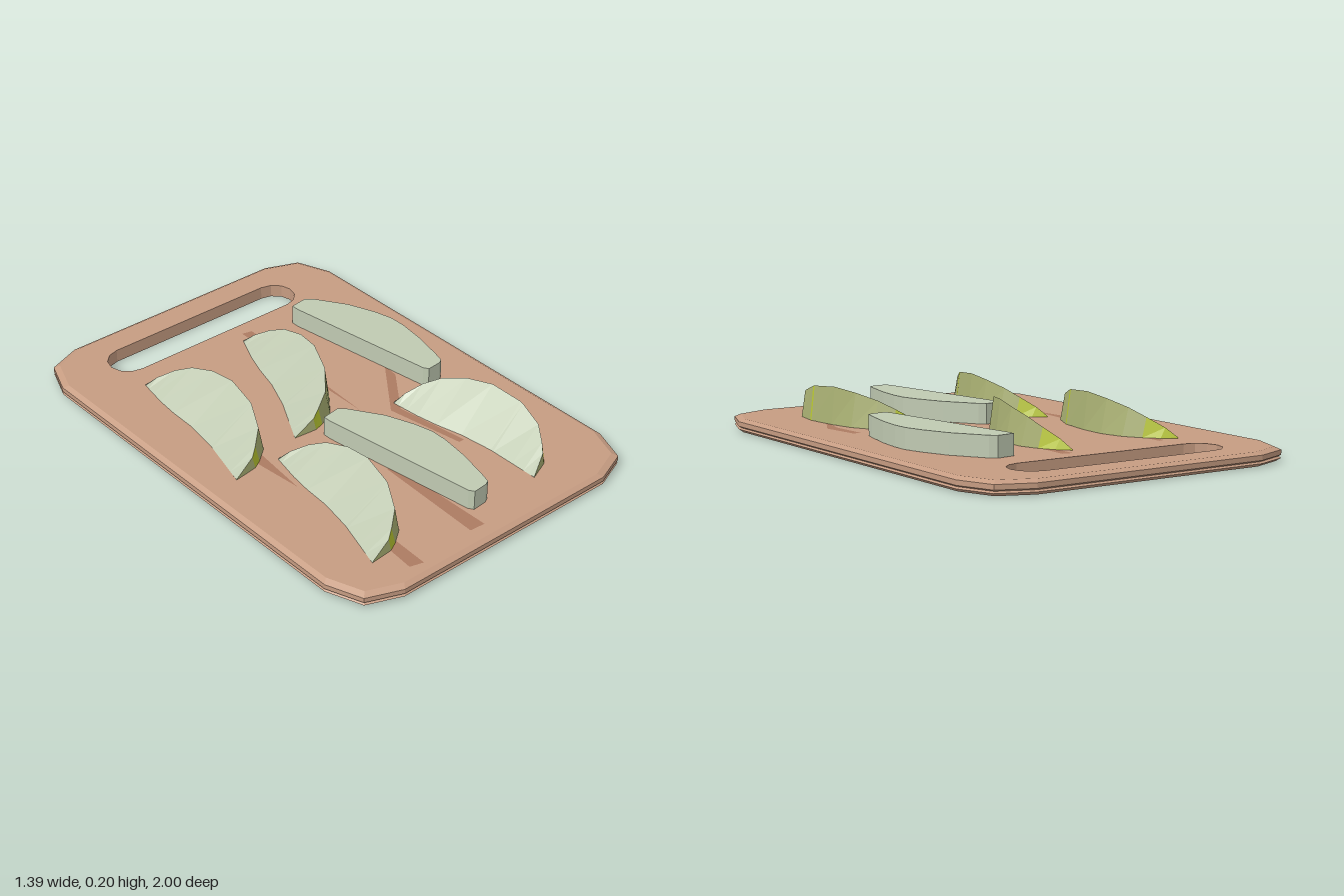
import * as THREE from 'three';

const mat = (color) => new THREE.MeshStandardMaterial({ color, flatShading: true });
const wood = mat(0xc69c82), stainMat = mat(0xad7b62);
const flesh = mat(0xc0cab2), skin = mat(0xa9b073), streak = mat(0xb9c832);
const TOP = 0.054;

function mesh(name, geometry, material) {
  const m = new THREE.Mesh(geometry, material);
  m.name = name;
  return m;
}

// Geometry from a list of four-cornered faces, counter-clockwise from outside
function quads(list) {
  const pos = [];
  for (const [a, b, c, d] of list) pos.push(...a, ...b, ...c, ...a, ...c, ...d);
  const g = new THREE.BufferGeometry();
  g.setAttribute('position', new THREE.Float32BufferAttribute(pos, 3));
  g.computeVertexNormals();
  return g;
}

// Wall between two closed rings of [x, z] points at heights y0 and y1
function wall(r0, y0, r1, y1) {
  return r0.map((p, i) => {
    const j = (i + 1) % r0.length;
    return [[p[0], y0, p[1]], [r1[i][0], y1, r1[i][1]], [r1[j][0], y1, r1[j][1]], [r0[j][0], y0, r0[j][1]]];
  });
}

// Flat horizontal face from [x, z] points, facing up or down
function flat(ring, y, up = true, hole = null) {
  const v = (r) => r.map(([x, z]) => new THREE.Vector2(x, up ? -z : z));
  const s = new THREE.Shape(v(ring));
  if (hole) s.holes.push(new THREE.Path(v(hole)));
  return new THREE.ShapeGeometry(s).rotateX(up ? -Math.PI / 2 : Math.PI / 2).translate(0, y, 0);
}

// Board with cut corners, edge groove, chamfered top and a handle slot
function board() {
  const g = new THREE.Group();
  g.name = 'cuttingBoard';
  const q = [[0.695, 0.8], [0.64, 0.945], [0.5, 1]];
  const flip = (r, sx, sz) => r.map(([x, z]) => [x * sx, z * sz]);
  const outline = [...q, ...flip(q, -1, 1).reverse(), ...flip(q, -1, -1), ...flip(q, 1, -1).reverse()];
  const inset = (d) => outline.map(([x, z]) => [x * (1 - d / 0.695), z * (1 - d)]);
  const slot = [];
  for (const side of [1, -1]) {
    for (let i = 0; i <= 6; i++) {
      const a = (i / 6 - 0.5) * Math.PI;
      slot.push([-0.005 + side * (0.378 + 0.0875 * Math.cos(a)), -0.782 + side * 0.0875 * Math.sin(a)]);
    }
  }
  const profile = [[0.015, 0], [0, 0.012], [0.008, 0.018], [0, 0.024], [0, 0.043], [0.02, TOP]];
  const sides = [];
  for (let i = 0; i < profile.length - 1; i++) {
    const [d0, y0] = profile[i], [d1, y1] = profile[i + 1];
    sides.push(...wall(inset(d0), y0, inset(d1), y1));
  }
  const inner = [...slot].reverse();
  g.add(
    mesh('boardEdge', quads(sides), wood),
    mesh('boardTop', flat(inset(0.02), TOP, true, slot), wood),
    mesh('boardBottom', flat(inset(0.015), 0, false, slot), wood),
    mesh('handleSlot', quads(wall(inner, 0, inner, TOP)), wood)
  );
  return g;
}

// Wedge sections: [along, outer base offset, ridge offset, ridge height above board]
const sections = [
  [0, 0, 0, 0.004], [0.026, 0.06, 0.04, 0.04], [0.07, 0.115, 0.097, 0.078], [0.13, 0.168, 0.142, 0.11],
  [0.227, 0.208, 0.183, 0.135], [0.345, 0.221, 0.204, 0.149], [0.495, 0.218, 0.199, 0.139],
  [0.51, 0.214, 0.196, 0.136], [0.615, 0.184, 0.164, 0.106], [0.675, 0.132, 0.115, 0.074],
  [0.704, 0.097, 0.086, 0.052], [0.734, 0, 0, 0.002]
];
const streakSegments = [0, 1, 6, 9];
const coreLine = [[0, 0], [0.178, -0.002], [0.415, 0.03], [0.734, 0]];

function coreAt(t) {
  const i = Math.max(1, coreLine.findIndex((p) => p[0] >= t));
  const [a, b] = [coreLine[i - 1], coreLine[i]];
  return a[1] + (b[1] - a[1]) * (t - a[0]) / (b[0] - a[0]);
}

// Fruit wedge lying on one cut face, from its back tip to its front tip
function wedge(back, front) {
  const g = new THREE.Group();
  g.name = 'fruitWedge';
  const cut = [], peel = [], stripes = [];
  const rows = sections.map(([t, o, r, h]) => ({ L: [coreAt(t), 0, t], O: [o, 0, t], R: [r, h, t] }));
  for (let i = 0; i < rows.length - 1; i++) {
    const a = rows[i], b = rows[i + 1];
    cut.push([a.L, b.L, b.R, a.R], [a.O, b.O, b.L, a.L]);
    (streakSegments.includes(i) ? stripes : peel).push([a.R, b.R, b.O, a.O]);
  }
  g.add(mesh('cutFaces', quads(cut), flesh), mesh('peel', quads(peel), skin), mesh('peelStreaks', quads(stripes), streak));
  const dx = front[0] - back[0], dz = front[1] - back[1], s = Math.hypot(dx, dz) / 0.734;
  g.position.set(back[0], TOP + 0.001, back[1]);
  g.rotation.y = Math.atan2(dx, dz);
  g.scale.set(s, 1, s);
  return g;
}

// Thick flat slice
function slab(dx, dz) {
  const pts = [
    [0.295, -0.565], [0.37, -0.575], [0.395, -0.555], [0.48, -0.425], [0.525, -0.31], [0.545, -0.23],
    [0.545, -0.16], [0.53, -0.05], [0.5, 0.08], [0.485, 0.13], [0.465, 0.14], [0.405, 0.145], [0.392, 0.125], [0.295, -0.53]
  ];
  const shape = new THREE.Shape(pts.map(([x, z]) => new THREE.Vector2(x + dx, z + dz)));
  const geo = new THREE.ExtrudeGeometry(shape, { depth: 0.082, bevelEnabled: false });
  return mesh('fruitSlab', geo.rotateX(Math.PI / 2).translate(0, TOP + 0.083, 0), flesh);
}

// Knife marks and juice stains on the board
const stains = [
  [[-0.378, -0.585], [-0.35, -0.59], [-0.36, -0.2], [-0.415, 0.32], [-0.435, 0.12]],
  [[0.083, -0.635], [0.126, -0.625], [0.11, -0.3], [0.088, 0.1]],
  [[0.37, -0.075], [0.36, 0.0], [0.215, 0.19], [0.26, 0.5], [0.235, 0.5], [0.178, 0.175]],
  [[0.475, 0.2], [0.508, 0.21], [0.53, 0.37], [0.45, 0.52], [0.485, 0.37]],
  [[-0.385, 0.6], [-0.345, 0.6], [-0.36, 0.945], [-0.415, 0.93]],
  [[-0.09, 0.45], [-0.055, 0.45], [-0.045, 0.925], [-0.11, 0.92]],
  [[-0.045, -0.08], [-0.035, -0.08], [-0.045, 0.13], [-0.055, 0.13]]
];

export function createModel() {
  const model = new THREE.Group();
  model.name = 'cuttingBoardWithFruit';
  model.add(board());
  for (const s of stains) model.add(mesh('stain', flat(s, TOP + 0.0008), stainMat));
  const wedges = [
    [[-0.445, -0.585], [-0.56, 0.14]], [[0.05, -0.585], [-0.225, 0.075]],
    [[-0.36, 0.14], [-0.5, 0.83]], [[0.22, 0.145], [0.29, 0.845]]
  ];
  for (const [back, front] of wedges) model.add(wedge(back, front));
  model.add(slab(0, 0), slab(-0.42, 0.695));
  return model;
}
